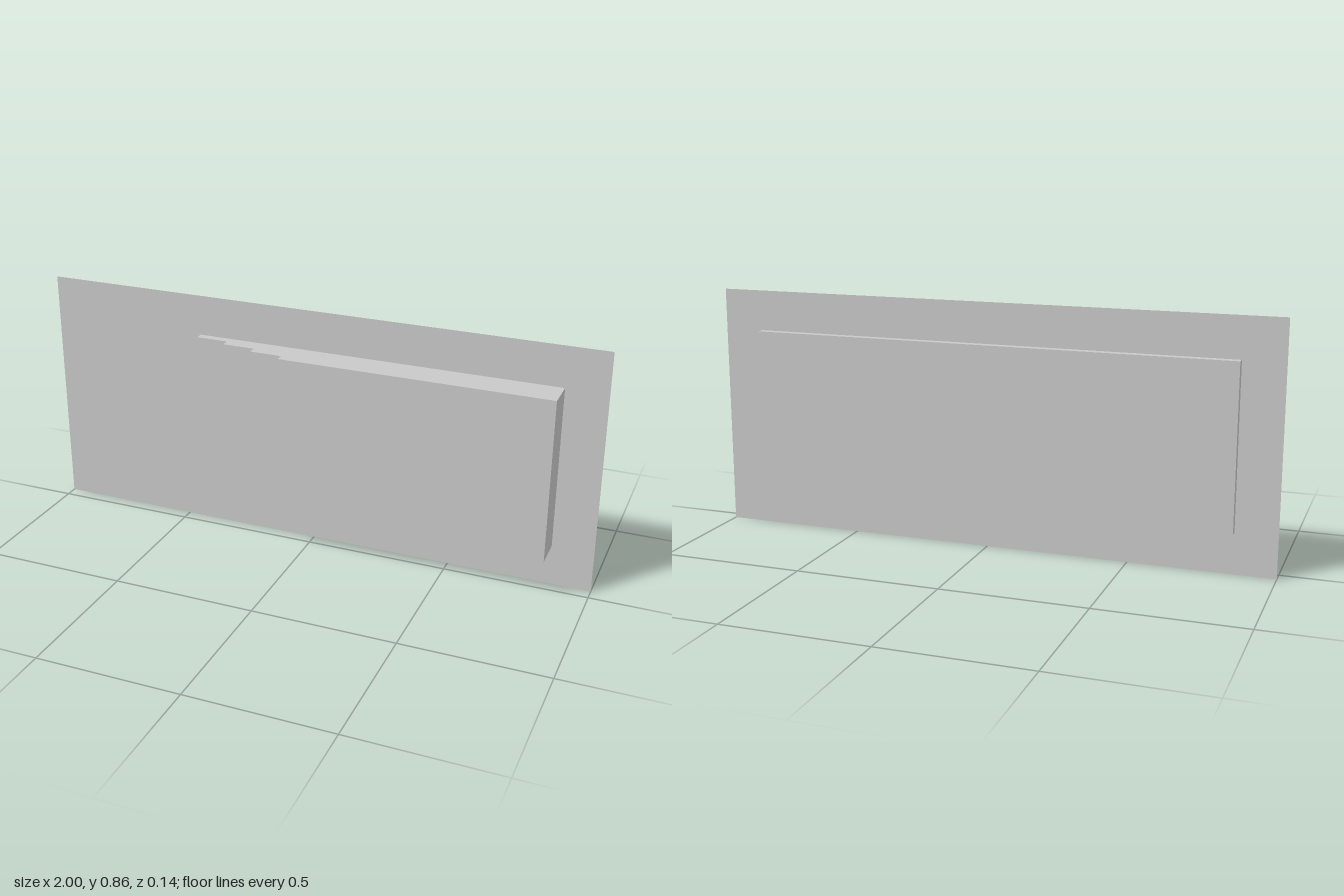
import * as THREE from 'three';

export function createModel() {
  const model = new THREE.Group();
  const gray = new THREE.MeshStandardMaterial({ color: 0xc8c8c8, side: THREE.DoubleSide });
  gray.name = 'light gray';

  // Stepped block: a plan outline (x, -z) extruded upwards
  const end = 0.857, back = -0.0714, rise = 0.0286;
  const stepEdges = [-0.4286, -0.3143, -0.2, -0.0857];
  const plan = new THREE.Shape();
  plan.moveTo(-end, -back);
  let z = back + rise;
  plan.lineTo(-end, -z);
  for (const x of stepEdges) {
    plan.lineTo(x, -z);
    z += rise;
    plan.lineTo(x, -z);
  }
  plan.lineTo(end, -z);
  plan.lineTo(end, -back);
  plan.closePath();
  const blockGeometry = new THREE.ExtrudeGeometry(plan, { depth: 0.5714, bevelEnabled: false });
  blockGeometry.rotateX(-Math.PI / 2);
  const block = new THREE.Mesh(blockGeometry, gray);
  block.name = 'steppedBlock';
  block.position.y = 0.1429;
  model.add(block);

  // Thin sheet the block passes through, flush with the lowest step
  const sheet = new THREE.Mesh(new THREE.PlaneGeometry(2, 0.857), gray);
  sheet.name = 'backingSheet';
  sheet.position.set(0, 0.4285, -0.0425);
  model.add(sheet);

  return model;
}
